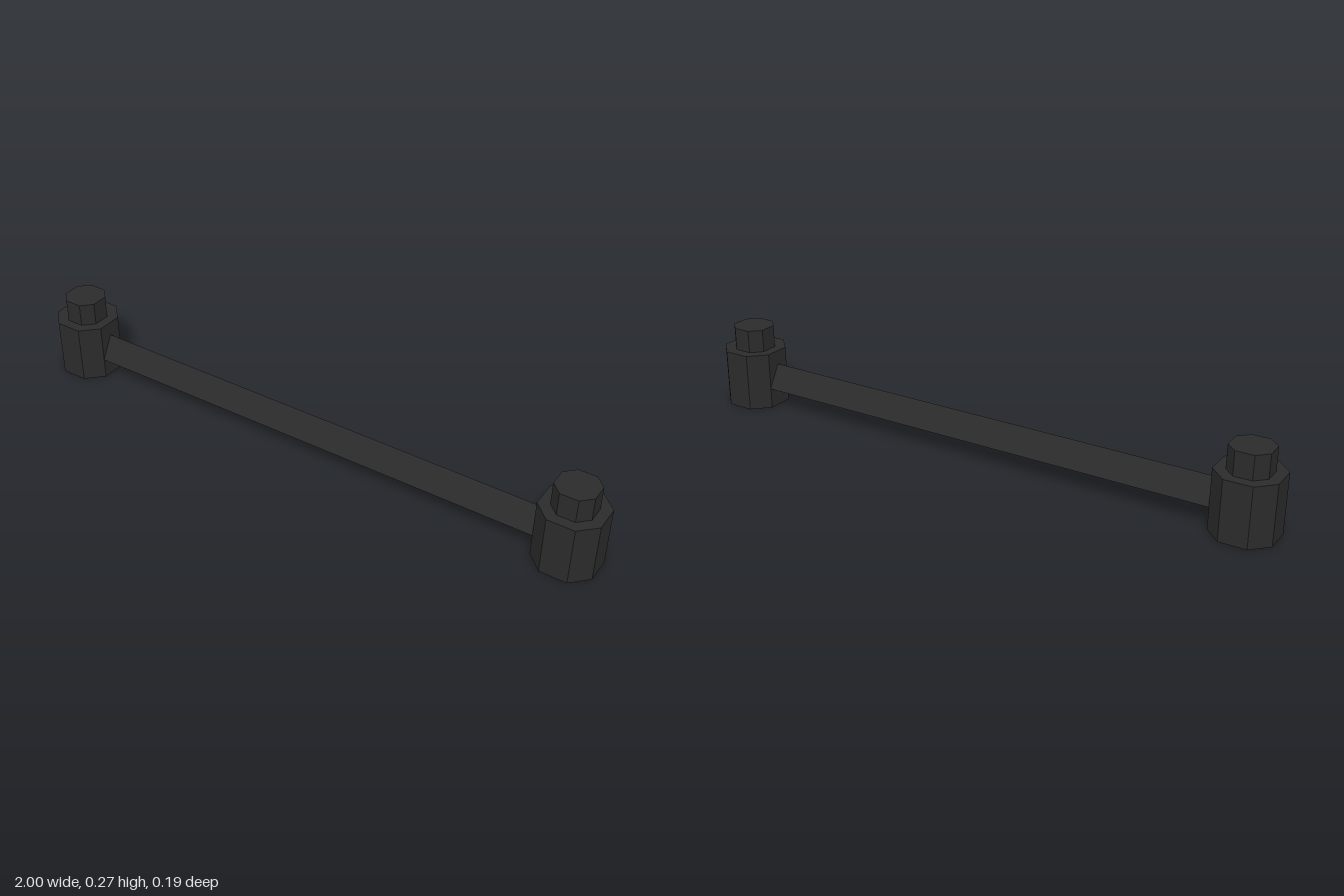
import * as THREE from 'three';

// Upright prism from (x, z) outline points
function prism(points, height) {
  const shape = new THREE.Shape(points.map(([x, y]) => new THREE.Vector2(x, y)));
  return new THREE.ExtrudeGeometry(shape, { depth: height, bevelEnabled: false });
}

// Square of half width a with its corners cut, leaving flats of half width f
function octagon(a, f) {
  return [[a, -f], [a, f], [f, a], [-f, a], [-a, f], [-a, -f], [-f, -a], [f, -a]];
}

export function createModel() {
  const model = new THREE.Group();
  model.name = 'barWithPosts';
  const darkMetal = new THREE.MeshStandardMaterial({ color: 0x2b2b2b, flatShading: true });
  darkMetal.name = 'dark metal';

  function add(parent, name, geometry) {
    const mesh = new THREE.Mesh(geometry, darkMetal);
    mesh.name = name;
    parent.add(mesh);
  }

  // Octagonal end posts, each with a narrower peg on top
  for (const [side, name] of [[1, 'leftPost'], [-1, 'rightPost']]) {
    const post = new THREE.Group();
    post.name = name;
    post.position.x = side * 0.903;
    add(post, 'postBody', prism(octagon(0.097, 0.044), 0.195).rotateX(-Math.PI / 2));
    add(post, 'postPeg',
      prism(octagon(0.063, 0.029), 0.077).rotateX(-Math.PI / 2).translate(0, 0.195, 0));
    model.add(post);
  }

  // Triangular crossbar, ridge upward, running into both posts
  const length = 1.8;
  add(model, 'crossbar',
    prism([[-0.045, 0.07], [0.045, 0.07], [0, 0.148]], length)
      .translate(0, 0, -length / 2).rotateY(Math.PI / 2));

  return model;
}
